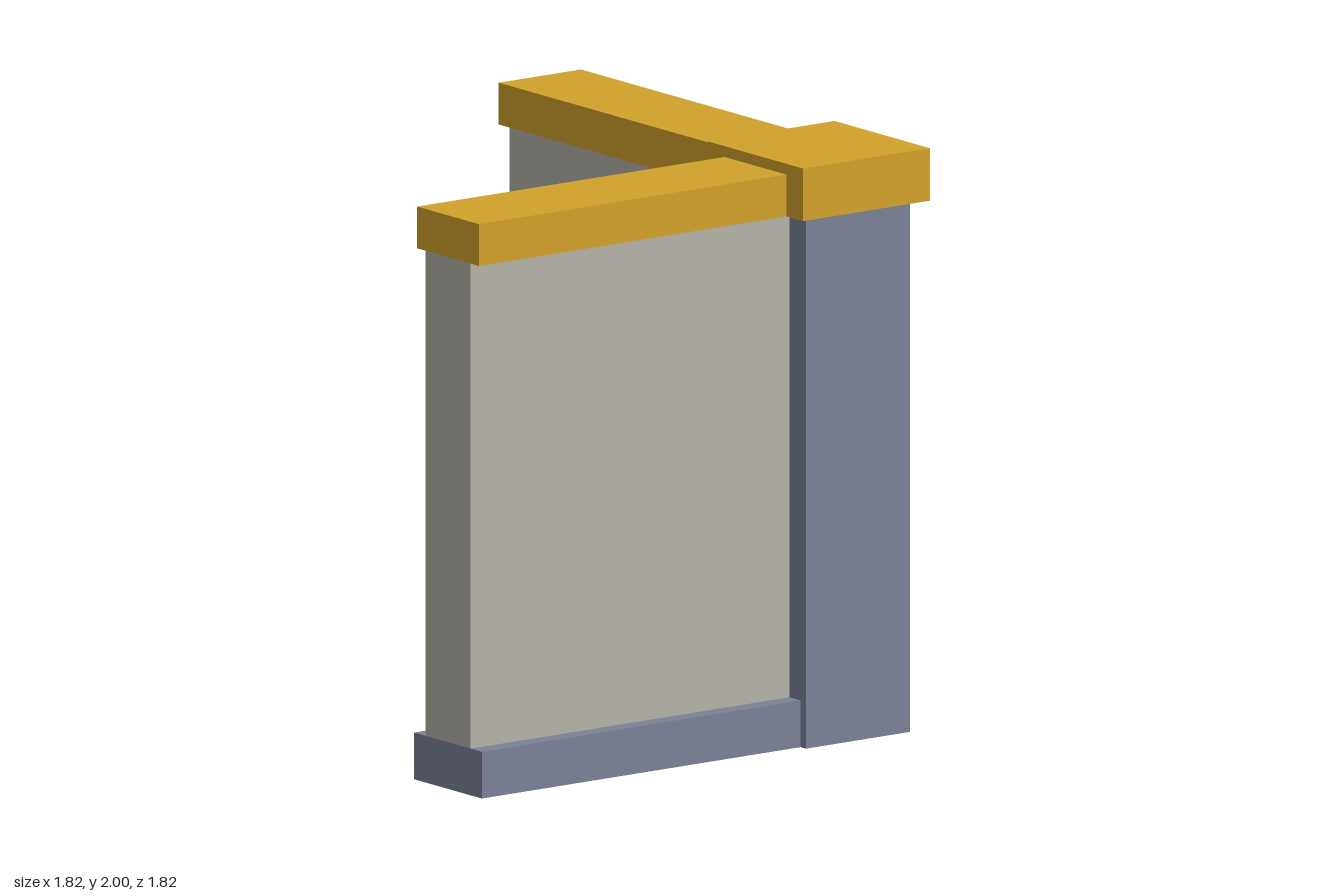
import * as THREE from 'three';

const material = (color) => new THREE.MeshStandardMaterial({ color });

// Box given by its lower and upper limits on each axis
function block(name, mat, [x0, x1], [y0, y1], [z0, z1]) {
  const mesh = new THREE.Mesh(new THREE.BoxGeometry(x1 - x0, y1 - y0, z1 - z0), mat);
  mesh.name = name;
  mesh.position.set((x0 + x1) / 2, (y0 + y1) / 2, (z0 + z1) / 2);
  return mesh;
}

export function createModel() {
  const model = new THREE.Group();
  model.name = 'cornerWall';

  const trim = material(0x7a8297);
  const plaster = material(0xb5b2a9);
  const gold = material(0xd2a12b);

  const C = 0.643;         // corner post centre: x = C, z = -C
  const END = 0.908;       // outer extent of the walls and cap
  const POST = 0.218;      // post half width
  const CAP = END - C;     // post cap half width
  const BASE_TOP = 0.16, WALL_TOP = 1.82, COPING_TOP = 1.963;

  // Corner post and its cap
  model.add(block('cornerPost', trim, [C - POST, C + POST], [0, WALL_TOP], [-C - POST, -C + POST]));
  model.add(block('cornerCap', gold, [C - CAP, C + CAP], [WALL_TOP, 2], [-C - CAP, -C + CAP]));

  // One wing, running from the post along +z: plinth, panel and coping
  const span = (half) => [-half, half];
  function wing(name) {
    const group = new THREE.Group();
    group.name = name;
    const end = END + C;
    group.add(block('plinth', trim, span(0.188), [0, BASE_TOP], [POST, end]));
    group.add(block('panel', plaster, span(0.126), [BASE_TOP, WALL_TOP], [POST, end]));
    group.add(block('coping', gold, span(0.172), [WALL_TOP, COPING_TOP], [CAP, end]));
    group.position.set(C, 0, -C);
    return group;
  }

  const frontWing = wing('frontWing');
  const sideWing = wing('sideWing');
  sideWing.rotation.y = -Math.PI / 2; // turned to run along -x
  model.add(frontWing, sideWing);

  return model;
}
